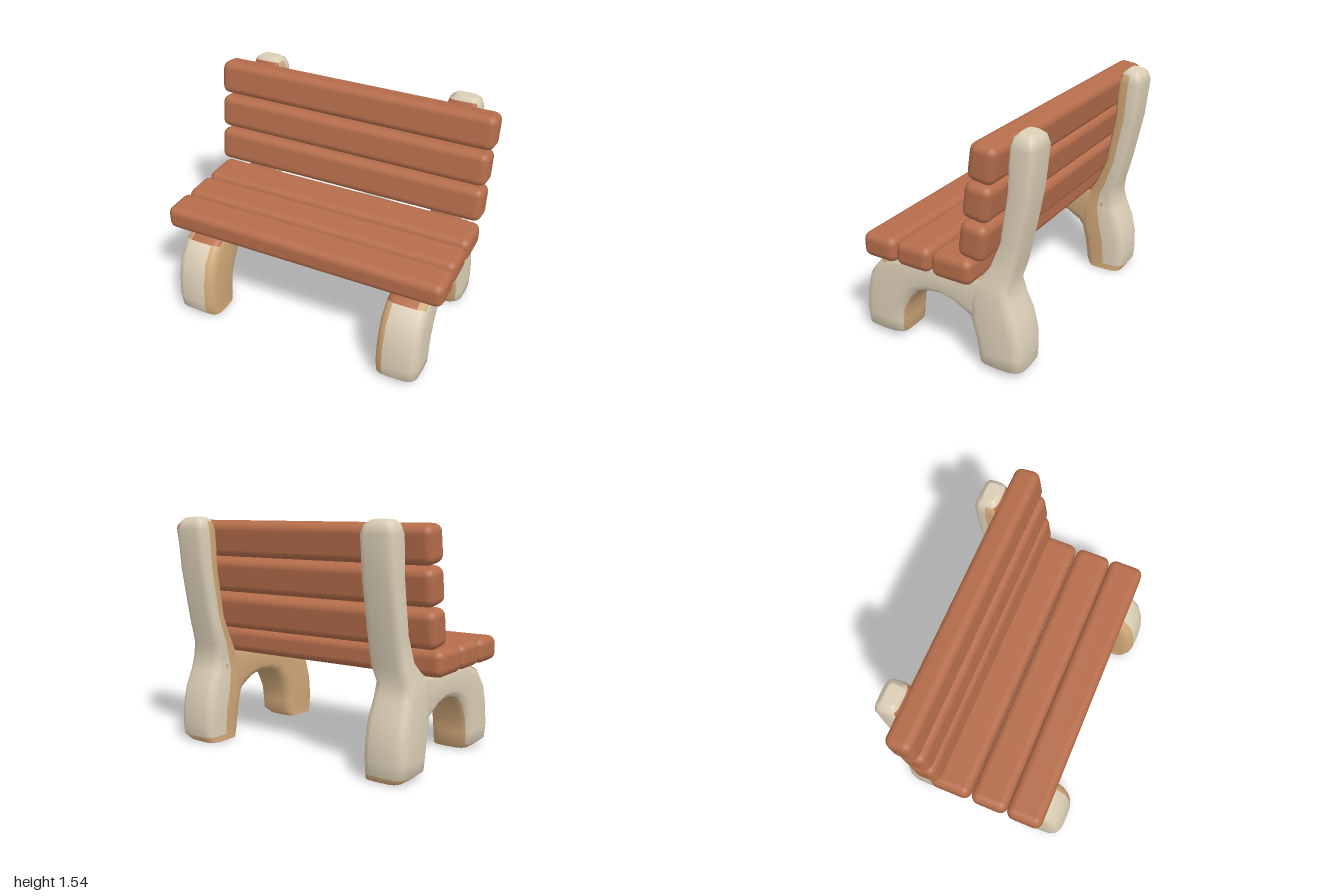
import * as THREE from 'three';
import { RoundedBoxGeometry } from 'three/addons/geometries/RoundedBoxGeometry.js';

const mat = (name, color) => {
  const m = new THREE.MeshStandardMaterial({ color });
  m.name = name;
  return m;
};

// Cross-sections of one side frame: [frontZ, frontY, backZ, backY, halfWidth]
const ARCH = [
  [0.58, 0, 0.34, 0, 0.125],
  [0.615, 0.04, 0.305, 0.04, 0.148],
  [0.625, 0.13, 0.30, 0.12, 0.152],
  [0.61, 0.28, 0.285, 0.22, 0.152],
  [0.575, 0.42, 0.23, 0.32, 0.15],
  [0.48, 0.54, 0.16, 0.385, 0.145],
  [0.3, 0.615, 0.08, 0.405, 0.14],
  [0.02, 0.62, 0.0, 0.41, 0.135],
  [-0.17, 0.62, -0.085, 0.385, 0.135],
  [-0.3, 0.65, -0.18, 0.32, 0.13],
  [-0.42, 0.6, -0.26, 0.22, 0.11],
];
const POST = [
  [-0.29, 0, -0.545, 0, 0.125],
  [-0.26, 0.04, -0.57, 0.04, 0.148],
  [-0.25, 0.12, -0.575, 0.13, 0.152],
  [-0.235, 0.2, -0.57, 0.25, 0.152],
  [-0.2, 0.32, -0.54, 0.38, 0.15],
  [-0.2, 0.48, -0.49, 0.49, 0.14],
  [-0.24, 0.6, -0.465, 0.58, 0.13],
  [-0.315, 0.7, -0.485, 0.68, 0.122],
  [-0.385, 0.87, -0.53, 0.87, 0.118],
  [-0.435, 1.2, -0.595, 1.2, 0.118],
  [-0.445, 1.46, -0.622, 1.46, 0.118],
  [-0.465, 1.52, -0.605, 1.515, 0.1],
  [-0.495, 1.545, -0.575, 1.54, 0.065],
];
const SIDES = 20;
const squircle = (v) => Math.sign(v) * Math.sqrt(Math.abs(v));

// Loft through rounded-square sections; paint(c, s, y) picks a material index,
// where c = 1 faces front/up and s = 1 faces the middle of the bench
function loft(sections, side, paint) {
  const pos = [];
  const faces = [[], [], [], []];
  const tri = (m, a, b, c) => faces[m].push(...(side > 0 ? [a, b, c] : [a, c, b]));
  const ring = ([fz, fy, bz, by, hw]) => {
    for (let j = 0; j < SIDES; j++) {
      const a = (j / SIDES) * Math.PI * 2;
      const c = squircle(Math.cos(a)) / 2;
      pos.push(side * (0.605 + 0.15 * (hw < 0.13 ? 0.8 : 1) - hw * squircle(Math.sin(a))),
        (fy + by) / 2 + (fy - by) * c, (fz + bz) / 2 + (fz - bz) * c);
    }
  };
  sections.forEach(ring);
  for (let i = 0; i < sections.length - 1; i++) {
    const y = (sections[i][1] + sections[i + 1][1]) / 2;
    for (let j = 0; j < SIDES; j++) {
      const a = ((j + 0.5) / SIDES) * Math.PI * 2;
      const k = (j + 1) % SIDES, p = i * SIDES, q = p + SIDES;
      const m = paint(Math.cos(a), Math.sin(a), y);
      tri(m, p + j, q + j, p + k);
      tri(m, p + k, q + j, q + k);
    }
  }
  // End caps on their own rings, so their edges stay sharp
  [0, sections.length - 1].forEach((i, end) => {
    const base = pos.length / 3;
    ring(sections[i]);
    for (let j = 1; j < SIDES - 1; j++) {
      if (end) tri(0, base, base + j + 1, base + j);
      else tri(3, base, base + j, base + j + 1);
    }
  });
  const geo = new THREE.BufferGeometry();
  geo.setAttribute('position', new THREE.Float32BufferAttribute(pos, 3));
  geo.setIndex(faces.flat());
  let start = 0;
  faces.forEach((f, m) => {
    if (f.length) geo.addGroup(start, f.length, m);
    start += f.length;
  });
  geo.computeVertexNormals();
  return geo;
}

export function createModel() {
  const wood = mat('wood', 0xb56d4b);
  const stone = mat('stone', 0xdccfb7);
  const tan = mat('tanStone', 0xcfa778);
  const brown = mat('brownEdge', 0x9c5e3c);
  const frameMats = [stone, tan, wood, brown];
  const bench = new THREE.Group();
  bench.name = 'bench';

  // Side frames: front leg with seat arch, and back leg with post
  const paintArch = (c, s, y) => {
    if (y < 0.03) return 1;
    if (y > 0.56 && c > 0.7) return s > -0.3 ? 2 : 1;
    return s > 0.4 || c < -0.75 ? 1 : 0;
  };
  const paintPost = (c, s, y) => {
    if (y < 0.03) return 1;
    if (y > 1.49) return 0;
    if (y > 0.62 && c > 0.7) return 2;
    if (y > 0.62) return c > 0.1 && s > 0 ? 1 : 0;
    return (c > 0 && s > 0.3) || c > 0.75 ? 1 : 0;
  };
  for (const side of [1, -1]) {
    const frame = new THREE.Group();
    frame.name = side > 0 ? 'leftFrame' : 'rightFrame';
    const arch = new THREE.Mesh(loft(ARCH, side, paintArch), frameMats);
    arch.name = 'frontLegAndSeatArch';
    const post = new THREE.Mesh(loft(POST, side, paintPost), frameMats);
    post.name = 'backLegAndPost';
    frame.add(arch, post);
    bench.add(frame);
  }

  // Slats: [name, y, z, height, depth, tilt, length]
  const slats = [
    ['seatSlatFront', 0.69, 0.382, 0.165, 0.245, 0, 1.99],
    ['seatSlatMiddle', 0.69, 0.132, 0.165, 0.25, 0, 1.98],
    ['seatSlatBack', 0.69, -0.145, 0.168, 0.285, 0, 1.98],
    ['backSlatLower', 0.91, -0.298, 0.235, 0.18, -0.14, 1.98],
    ['backSlatMiddle', 1.16, -0.333, 0.23, 0.18, -0.14, 1.98],
    ['backSlatUpper', 1.403, -0.378, 0.232, 0.175, -0.14, 2],
  ];
  for (const [name, y, z, h, d, tilt, len] of slats) {
    const geo = new RoundedBoxGeometry(len, h, d, 3, 0.052);
    const slat = new THREE.Mesh(geo, wood);
    slat.name = name;
    slat.position.set(0, y, z);
    slat.rotation.x = tilt;
    bench.add(slat);
  }
  return bench;
}
